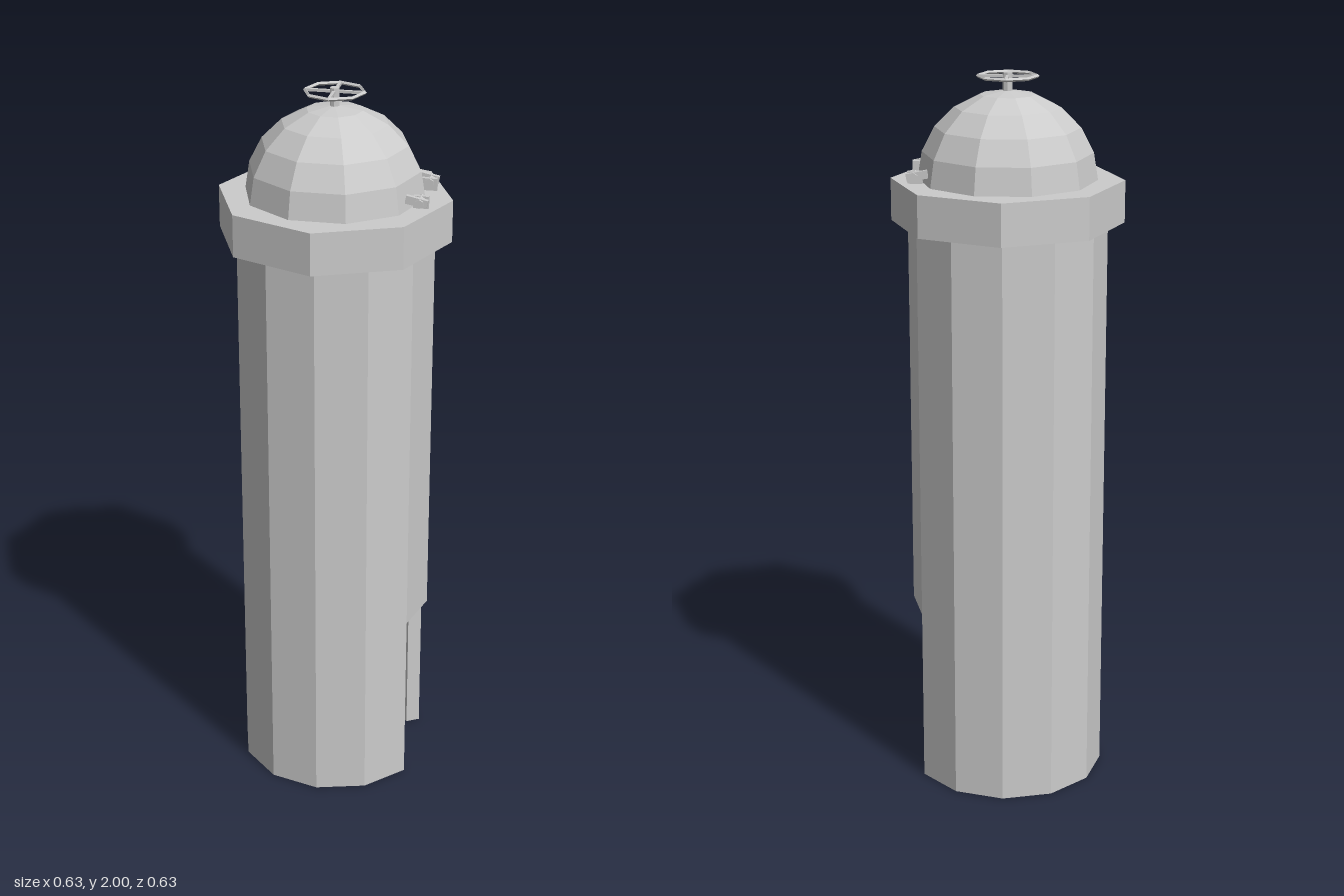
import * as THREE from 'three';

const mat = new THREE.MeshStandardMaterial({ color: 0xcccccc, flatShading: true });
const matDouble = new THREE.MeshStandardMaterial({ color: 0xcccccc, flatShading: true, side: THREE.DoubleSide });

function add(parent, name, geometry, x = 0, y = 0, z = 0, material = mat) {
  const mesh = new THREE.Mesh(geometry, material);
  mesh.name = name;
  mesh.position.set(x, y, z);
  parent.add(mesh);
  return mesh;
}

// Points of a regular polygon, from corner a to corner b
function corners(radius, sides, a = 0, b = sides - 1) {
  const pts = [];
  for (let i = a; i <= b; i++) {
    const t = (i / sides) * Math.PI * 2;
    pts.push(new THREE.Vector2(Math.cos(t) * radius, Math.sin(t) * radius));
  }
  return pts;
}

// Extrude a floor plan upwards
function upright(shape, height) {
  const g = new THREE.ExtrudeGeometry(shape, { depth: height, bevelEnabled: false });
  return g.rotateX(-Math.PI / 2);
}

function ring(outer, outerSides, inner, innerSides, height) {
  const shape = new THREE.Shape(corners(outer, outerSides));
  shape.holes.push(new THREE.Path(corners(inner, innerSides)));
  return upright(shape, height);
}

export function createModel() {
  const model = new THREE.Group();
  model.name = 'hatchTower';
  const R = 0.27, INNER = 0.23;

  // Twelve-sided hollow shaft with a doorway two panels wide on +x
  const doorPlan = new THREE.Shape([...corners(R, 12, 1, 11), ...corners(INNER, 12, 1, 11).reverse()]);
  add(model, 'shaftWithDoorway', upright(doorPlan, 0.5));
  add(model, 'upperShaft', ring(R, 12, INNER, 12, 1.1), 0, 0.5, 0);

  // Octagonal collar
  add(model, 'collar', ring(0.315, 8, INNER, 12, 0.115), 0, 1.6, 0);

  // Ten-sided domed hatch
  const profile = [];
  for (let i = 0; i <= 5; i++) {
    const t = (i / 5) * Math.PI / 2;
    profile.push(new THREE.Vector2(Math.cos(t) * 0.242, Math.sin(t) * 0.24));
  }
  const dome = new THREE.LatheGeometry(profile, 10).rotateY(Math.PI / 2);
  add(model, 'domeHatch', dome, 0, 1.714, 0, matDouble);

  // Hand wheel on top
  const wheel = new THREE.Group();
  wheel.name = 'handWheel';
  wheel.position.y = 1.99;
  add(wheel, 'wheelRim', new THREE.TorusGeometry(0.079, 0.005, 4, 8).rotateX(Math.PI / 2));
  add(wheel, 'spokeX', new THREE.BoxGeometry(0.155, 0.007, 0.008));
  add(wheel, 'spokeZ', new THREE.BoxGeometry(0.008, 0.007, 0.155));
  add(wheel, 'wheelStem', new THREE.CylinderGeometry(0.013, 0.013, 0.055, 8), 0, -0.0175, 0);
  model.add(wheel);

  // Two mirrored hinges beside the dome
  for (const s of [-1, 1]) {
    const hinge = new THREE.Group();
    hinge.name = s < 0 ? 'backHinge' : 'frontHinge';
    const pin = new THREE.CylinderGeometry(0.012, 0.012, 0.05, 6).rotateX(Math.PI / 2);
    add(hinge, 'hingePin', pin, 0.242, 1.737, s * 0.085);
    const arm = add(hinge, 'hatchArm', new THREE.BoxGeometry(0.058, 0.022, 0.012), 0.234, 1.74, s * 0.098);
    arm.rotation.z = -0.2;
    add(hinge, 'collarLug', new THREE.BoxGeometry(0.04, 0.034, 0.012), 0.242, 1.731, s * 0.072);
    model.add(hinge);
  }

  // Ladder inside, opposite the doorway
  const ladder = new THREE.Group();
  ladder.name = 'ladder';
  ladder.position.x = -0.175;
  for (const s of [-1, 1]) {
    add(ladder, 'ladderRail', new THREE.CylinderGeometry(0.015, 0.015, 1.58, 6), 0, 0.79, s * 0.085);
  }
  const dip = [[-0.085, 0.025], [-0.072, 0.018], [-0.06, 0], [0, 0], [0.06, 0], [0.072, 0.018], [0.085, 0.025]];
  const path = new THREE.CatmullRomCurve3(dip.map(([z, y]) => new THREE.Vector3(0, y, z)));
  const rung = new THREE.TubeGeometry(path, 16, 0.011, 6);
  for (let i = 0; i < 9; i++) add(ladder, 'ladderRung', rung, 0, 0.215 + i * 0.16, 0);
  model.add(ladder);

  return model;
}
